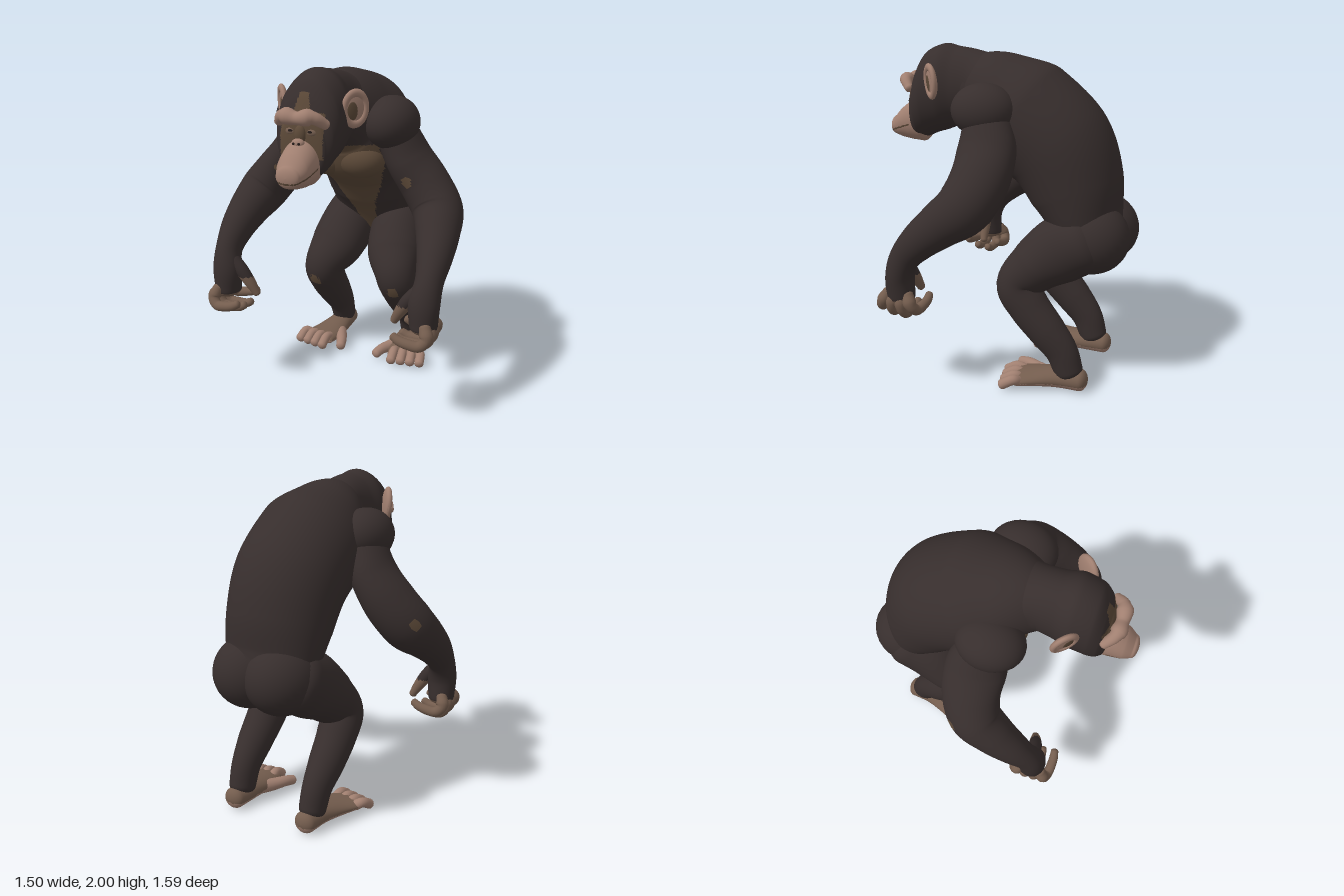
import * as THREE from 'three';

const mat = (name, color) => {
  const m = new THREE.MeshStandardMaterial({ color });
  m.name = name;
  return m;
};
const fur = mat('dark fur', 0x372e2d);
const bare = mat('brown bare skin', 0x5c4938);
const hide = mat('hand skin', 0x745d4e);
const skin = mat('pale skin', 0xa07f70);
const dark = mat('dark detail', 0x241c1a);

const X = new THREE.Vector3(1, 0, 0), Z = new THREE.Vector3(0, 0, 1);

// Smooth body through sections [x, y, z, sideRadius, otherRadius], with rounded ends;
// axis keeps all sections parallel instead of following the path
function loft(sections, { steps = 6, seg = 28, cap = 0.7, ref = X, axis } = {}) {
  const path = new THREE.CatmullRomCurve3(sections.map(s => new THREE.Vector3(s[0], s[1], s[2])));
  const radii = new THREE.CatmullRomCurve3(sections.map(s => new THREE.Vector3(s[3], s[4] ?? s[3], 0)));
  const n = (sections.length - 1) * steps, capRings = 7, rings = [];
  for (let k = capRings; k > 0; k--) rings.push([0, -k / capRings]);
  for (let i = 0; i <= n; i++) rings.push([i / n, 0]);
  for (let k = 1; k <= capRings; k++) rings.push([1, k / capRings]);
  const pos = [], idx = [];
  rings.forEach(([t, c], i) => {
    const r = radii.getPoint(t), T = axis ?? path.getTangent(t), p = path.getPoint(t);
    const S = ref.clone().addScaledVector(T, -ref.dot(T)).normalize();
    const B = T.clone().cross(S);
    const a = c * Math.PI / 2, shrink = Math.max(Math.cos(a), 0.002);
    p.addScaledVector(T, Math.sin(a) * cap * Math.min(r.x, r.y));
    for (let j = 0; j < seg; j++) {
      const th = j / seg * Math.PI * 2;
      const v = p.clone().addScaledVector(S, Math.cos(th) * r.x * shrink)
        .addScaledVector(B, Math.sin(th) * r.y * shrink);
      pos.push(v.x, v.y, v.z);
      if (i < rings.length - 1) {
        const q = i * seg + j, q2 = i * seg + (j + 1) % seg;
        idx.push(q, q2, q + seg, q2, q2 + seg, q + seg);
      }
    }
  });
  const g = new THREE.BufferGeometry();
  g.setAttribute('position', new THREE.Float32BufferAttribute(pos, 3));
  g.setIndex(idx);
  g.computeVertexNormals();
  return g;
}

// Sorts faces into colour groups; pick(x, y, z) returns a material index
function paint(g, pick) {
  const p = g.attributes.position, src = g.index.array, bins = [];
  for (let i = 0; i < src.length; i += 3) {
    const f = [src[i], src[i + 1], src[i + 2]];
    const mid = get => (get(f[0]) + get(f[1]) + get(f[2])) / 3;
    const m = pick(mid(k => p.getX(k)), mid(k => p.getY(k)), mid(k => p.getZ(k)));
    (bins[m] ??= []).push(...f);
  }
  const out = [];
  bins.forEach((b, m) => {
    g.addGroup(out.length, b.length, m);
    for (const k of b) out.push(k);
  });
  g.setIndex(out);
  return g;
}

export function createModel() {
  const root = new THREE.Group();
  root.name = 'ape';
  const add = (name, g, m, parent = root) => {
    const mesh = new THREE.Mesh(g, m);
    mesh.name = name;
    parent.add(mesh);
    return mesh;
  };
  const blob = (name, c, r, m, parent) => {
    const mesh = add(name, new THREE.SphereGeometry(1, 32, 24), m, parent);
    mesh.position.set(...c);
    mesh.scale.set(...r);
    return mesh;
  };
  const near = (x, y, z, c, r) => Math.hypot(x - c[0], y - c[1], z - c[2]) < r;

  // Torso with bare chest and belly wedge
  const torso = loft([
    [0, 0.89, -0.56, 0.27, 0.195], [0, 1.02, -0.505, 0.297, 0.22], [0, 1.2, -0.437, 0.32, 0.283],
    [0, 1.43, -0.315, 0.335, 0.328], [0, 1.595, -0.105, 0.335, 0.345], [0, 1.71, 0.07, 0.26, 0.265],
    [0, 1.755, 0.22, 0.17, 0.205]], { steps: 14, seg: 112, cap: 0.8 });
  const wedge = y => y > 1.37 ? 0.24 : y > 1.08 ? 0.09 + (y - 1.08) * 0.48 : 0.035 + (y - 0.85) * 0.24;
  add('torso', paint(torso, (x, y, z) =>
    y > 0.85 && y < 1.54 && z > -0.55 + (y - 0.85) * 0.75 && Math.abs(x) < wedge(y) ? 1 : 0), [fur, bare]);

  // Head and neck, with bare face and forehead patch
  const head = loft([
    [0, 1.73, 0.12, 0.2, 0.22], [0, 1.757, 0.22, 0.168, 0.215], [0, 1.748, 0.32, 0.172, 0.237],
    [0, 1.735, 0.42, 0.193, 0.264], [0, 1.695, 0.52, 0.188, 0.262], [0, 1.645, 0.575, 0.168, 0.23],
    [0, 1.605, 0.605, 0.138, 0.185]], { steps: 10, seg: 112, cap: 0.18, axis: Z });
  add('head', paint(head, (x, y, z) => {
    const a = Math.abs(x);
    if (z > 0.54 && y > 1.55 && y < 1.79 && a < 0.125) return 1;
    return z > 0.48 && y >= 1.79 && y < 1.89 && a < 0.05 - (y - 1.79) * 0.25 ? 1 : 0;
  }), [fur, bare]);

  // Muzzle with the mouth line
  const muzzle = loft([
    [0, 1.525, 0.575, 0.11, 0.135], [0, 1.52, 0.645, 0.105, 0.126], [0, 1.5, 0.72, 0.093, 0.095],
    [0, 1.481, 0.768, 0.07, 0.061]], { steps: 12, seg: 128, cap: 0.5, axis: Z });
  add('muzzle', paint(muzzle, (x, y, z) =>
    z > 0.63 && Math.abs(y - 1.447 - (0.8 - z) * 0.35) < 0.005 ? 1 : 0), [skin, bare]);
  blob('noseBridge', [0, 1.675, 0.622], [0.034, 0.055, 0.028], bare);
  blob('nose', [0, 1.637, 0.65], [0.036, 0.026, 0.026], skin);
  add('brow', loft([
    [-0.138, 1.735, 0.6, 0.026], [-0.085, 1.776, 0.648, 0.035], [0, 1.769, 0.66, 0.035],
    [0.085, 1.776, 0.648, 0.035], [0.138, 1.735, 0.6, 0.026]], { ref: Z }), skin);

  for (const s of [1, -1]) {
    const side = new THREE.Group();
    side.name = s > 0 ? 'leftSide' : 'rightSide';
    root.add(side);
    const flip = pts => pts.map(([x, ...rest]) => [x * s, ...rest]);
    const limb = (name, pts, m, opt) => add(name, loft(flip(pts), opt), m, side);

    // Face details
    blob('eyelid', [0.06 * s, 1.69, 0.606], [0.036, 0.025, 0.024], hide, side);
    blob('eye', [0.058 * s, 1.695, 0.623], [0.015, 0.008, 0.01], dark, side);
    blob('nostril', [0.015 * s, 1.638, 0.672], [0.008, 0.007, 0.006], dark, side);

    // Ear, flared outward and back
    const ear = new THREE.Group();
    ear.name = 'ear';
    ear.position.set(0.218 * s, 1.795, 0.41);
    ear.rotation.set(0.1, s * 0.85, -s * 0.08);
    side.add(ear);
    blob('earShell', [0, 0, -0.008], [0.078, 0.1, 0.02], skin, ear);
    blob('earHollow', [-0.014 * s, -0.008, 0.005], [0.036, 0.055, 0.009], bare, ear);
    add('earRim', new THREE.TorusGeometry(0.058, 0.016, 12, 40), skin, ear).scale.set(1.1, 1.45, 1);

    // Chest, shoulder and buttock masses
    blob('pectoral', [0.105 * s, 1.435, 0.07], [0.15, 0.115, 0.12], bare, side);
    blob('shoulder', [0.285 * s, 1.66, 0.035], [0.16, 0.155, 0.195], fur, side);
    blob('buttock', [0.11 * s, 0.925, -0.565], [0.215, 0.215, 0.228], fur, side);

    // Arm down to the knuckles
    const arm = loft(flip([
      [0.31, 1.58, 0, 0.12, 0.15], [0.38, 1.44, -0.02, 0.13, 0.175], [0.48, 1.3, -0.02, 0.145, 0.17],
      [0.575, 1.17, 0.03, 0.148, 0.16], [0.62, 1.07, 0.15, 0.127, 0.133], [0.645, 0.96, 0.28, 0.1, 0.108],
      [0.65, 0.85, 0.375, 0.08, 0.088], [0.64, 0.74, 0.415, 0.09, 0.083],
      [0.64, 0.61, 0.415, 0.08, 0.085]]), { steps: 8, seg: 64, cap: 0.6 });
    add('arm', paint(arm, (x, y, z) =>
      y < 0.6 ? 1 : near(x * s, y, z, [0.42, 1.34, 0.15], s > 0 ? 0.035 : 0.022)
        || (s < 0 && near(x, y, z, [-0.69, 1.2, -0.09], 0.04)) ? 2 : 0), [fur, hide, bare], side);

    // Curled fingers, the outer two lifted, and thumb
    [0.05, 0, 0.008, 0.045].forEach((lift, i) => {
      const z = 0.355 + i * 0.042, spread = (i - 1.5) * 0.02;
      limb('finger', [
        [0.67, 0.63, z, 0.034], [0.688, 0.56 + lift * 0.3, z + spread, 0.034],
        [0.655, 0.51 + lift * 0.6, z + spread * 1.6, 0.032], [0.595, 0.505 + lift * 0.8, z + spread * 1.9, 0.03],
        [0.54, 0.508 + lift, z + spread * 1.9, 0.028], [0.505, 0.525 + lift, z + spread * 1.7, 0.024]],
      hide, { seg: 16, ref: Z });
    });
    const thumb = loft(flip([[0.6, 0.8, 0.41, 0.045], [0.545, 0.74, 0.405, 0.042],
      [0.495, 0.665, 0.395, 0.035], [0.455, 0.595, 0.385, 0.024]]), { seg: 24, ref: Z });
    add('thumb', paint(thumb, (x, y) => y < 0.705 ? 1 : 0), [fur, hide], side);

    // Leg with a bare knee patch
    const leg = loft(flip([
      [0.17, 0.92, -0.54, 0.18, 0.19], [0.178, 0.86, -0.42, 0.182, 0.2], [0.208, 0.74, -0.26, 0.177, 0.165],
      [0.255, 0.62, -0.165, 0.13, 0.13], [0.265, 0.5, -0.235, 0.12, 0.125], [0.268, 0.36, -0.355, 0.105, 0.115],
      [0.265, 0.24, -0.45, 0.085, 0.1], [0.262, 0.12, -0.495, 0.078, 0.09]]), { steps: 8, seg: 64 });
    add('leg', paint(leg, (x, y, z) =>
      near(x * s, y, z, [0.275, 0.545, -0.07], 0.04) ? 1 : 0), [fur, bare], side);

    // Foot with pale sole, four toes and a splayed big toe
    const foot = loft(flip([
      [0.262, 0.068, -0.57, 0.068, 0.066], [0.265, 0.066, -0.44, 0.08, 0.062],
      [0.285, 0.056, -0.3, 0.105, 0.05], [0.315, 0.05, -0.2, 0.115, 0.04]]), { seg: 40 });
    add('foot', paint(foot, (x, y) => y < 0.05 ? 1 : 0), [hide, skin], side);
    for (let i = 0; i < 4; i++) {
      const x = 0.245 + i * 0.05, out = 0.006 + i * 0.008, back = i * 0.012;
      limb('toe', [[x, 0.055, -0.22, 0.032], [x + out, 0.072, -0.165 - back, 0.03],
        [x + out * 1.5, 0.038, -0.1 - back, 0.031]], skin, { seg: 16 });
    }
    limb('bigToe', [[0.245, 0.055, -0.38, 0.045], [0.19, 0.05, -0.28, 0.04], [0.15, 0.05, -0.2, 0.034],
      [0.132, 0.04, -0.145, 0.031]], skin, { seg: 16 });
  }
  return root;
}
